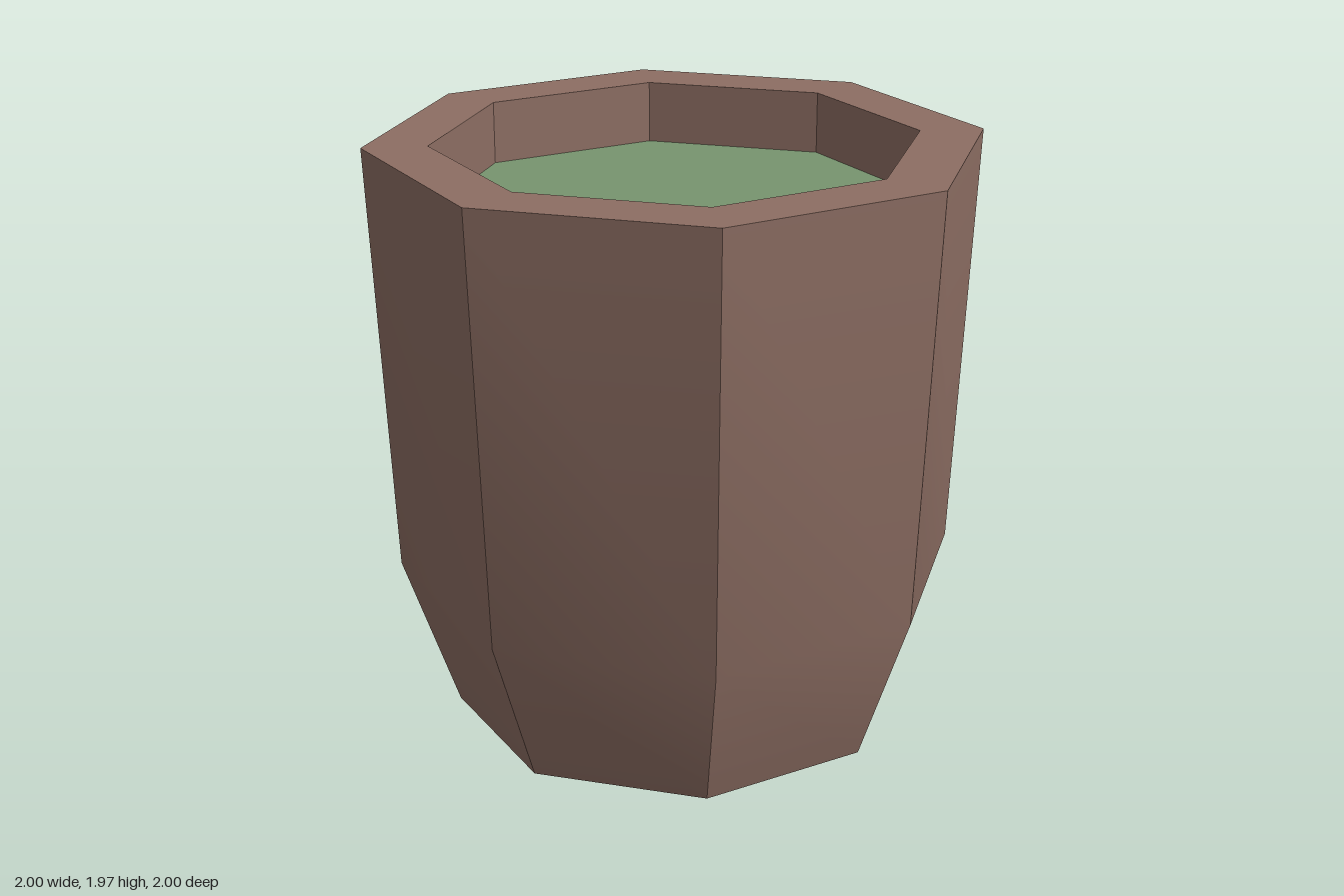
import * as THREE from 'three';
import { toCreasedNormals } from 'three/addons/utils/BufferGeometryUtils.js';

const SIDES = 8;
const INNER_RADIUS = 0.79;
const FILL_HEIGHT = 1.76;

export function createModel() {
  const clay = new THREE.MeshStandardMaterial({ color: 0x8d6e63 });
  clay.name = 'brown clay';
  const green = new THREE.MeshStandardMaterial({ color: 0x77946f });
  green.name = 'green filling';

  const model = new THREE.Group();
  model.name = 'pot';

  // Octagonal shell: base, tapered foot, wall, flat rim and inner wall
  const profile = [
    [0, 0], [0.76, 0], [0.94, 0.53], [1, 1.97],
    [INNER_RADIUS, 1.97], [INNER_RADIUS, FILL_HEIGHT],
  ].map(([r, y]) => new THREE.Vector2(r, y));
  const shellGeometry = toCreasedNormals(
    new THREE.LatheGeometry(profile, SIDES), THREE.MathUtils.degToRad(30));
  const shell = new THREE.Mesh(shellGeometry, clay);
  shell.name = 'potShell';
  model.add(shell);

  // Flat filling set below the rim
  const filling = new THREE.Mesh(
    new THREE.CircleGeometry(INNER_RADIUS, SIDES).rotateX(-Math.PI / 2), green);
  filling.name = 'filling';
  filling.position.y = FILL_HEIGHT;
  model.add(filling);

  return model;
}
